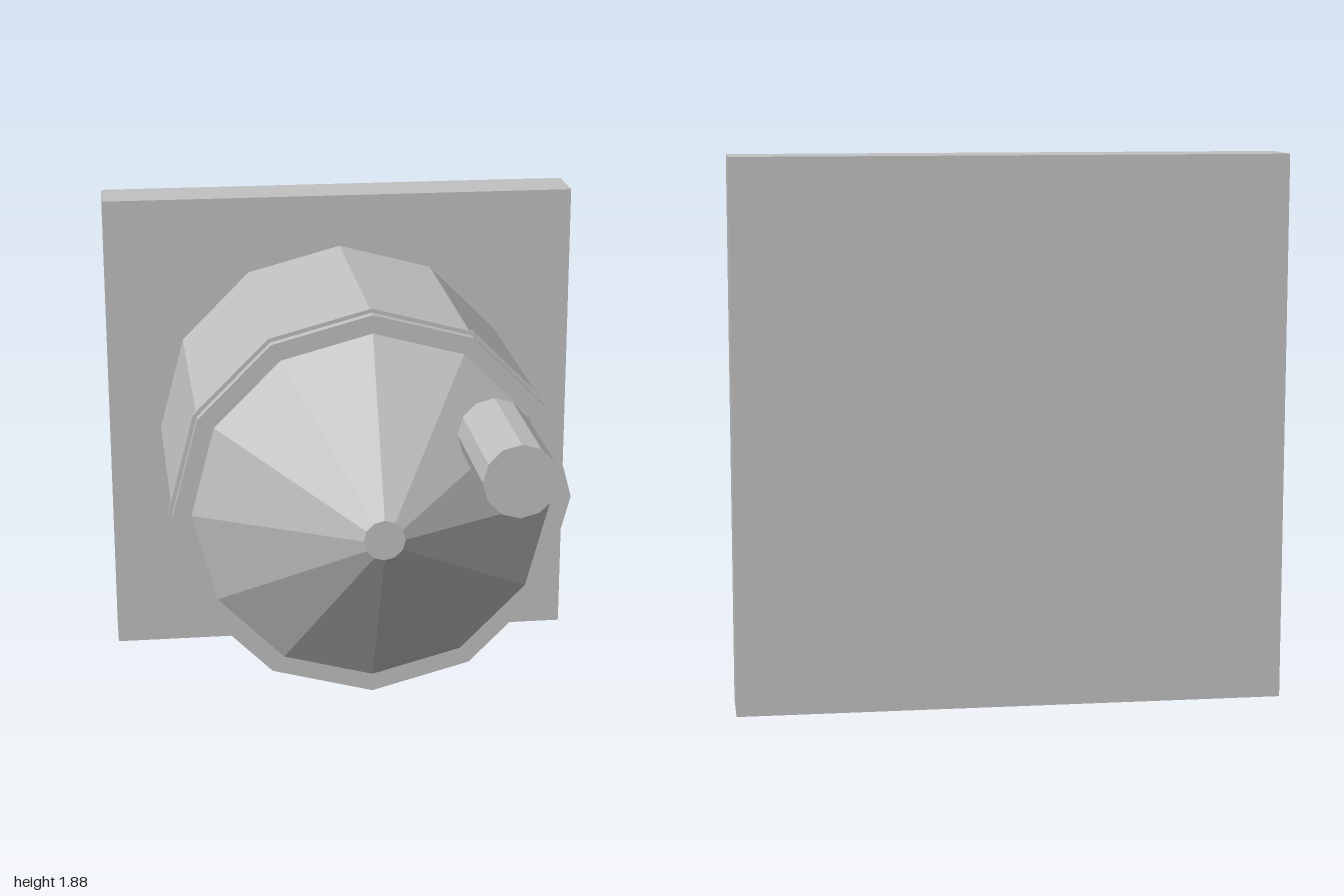
import * as THREE from 'three';

export function createModel() {
  const model = new THREE.Group();
  const grey = new THREE.MeshStandardMaterial({ color: 0xc2c2c2, flatShading: true });
  grey.name = 'plain grey';
  const axisY = 0.94;

  function add(name, geometry, x, y, z) {
    const mesh = new THREE.Mesh(geometry, grey);
    mesh.name = name;
    mesh.position.set(x, y, z);
    model.add(mesh);
  }

  // Box given by its width, y range and z range
  function box(name, width, y0, y1, z0, z1) {
    add(name, new THREE.BoxGeometry(width, y1 - y0, z1 - z0), 0, (y0 + y1) / 2, (z0 + z1) / 2);
  }

  // Twelve-sided round part lying along z, from z0 (back) to z1 (front)
  function round(name, backRadius, frontRadius, z0, z1, x = 0, y = axisY) {
    const geometry = new THREE.CylinderGeometry(frontRadius, backRadius, z1 - z0, 12);
    geometry.rotateX(Math.PI / 2);
    add(name, geometry, x, y, (z0 + z1) / 2);
  }

  // Square mounting plate and the ledge below the drum
  box('backPlate', 1.88, 0, 1.88, -1, -0.78);
  box('supportLedge', 0.66, 0.17, 0.24, -0.78, -0.335);

  // Drum with a thin rim and a blunt conical nose
  round('drum', 0.735, 0.735, -0.78, 0.277);
  round('drumRim', 0.75, 0.75, 0.23, 0.242);
  round('noseCone', 0.667, 0.075, 0.277, 0.613);

  // Off-centre rod in front of the cone
  round('rod', 0.131, 0.131, 0.478, 1, 0.41, 1.28);

  return model;
}
